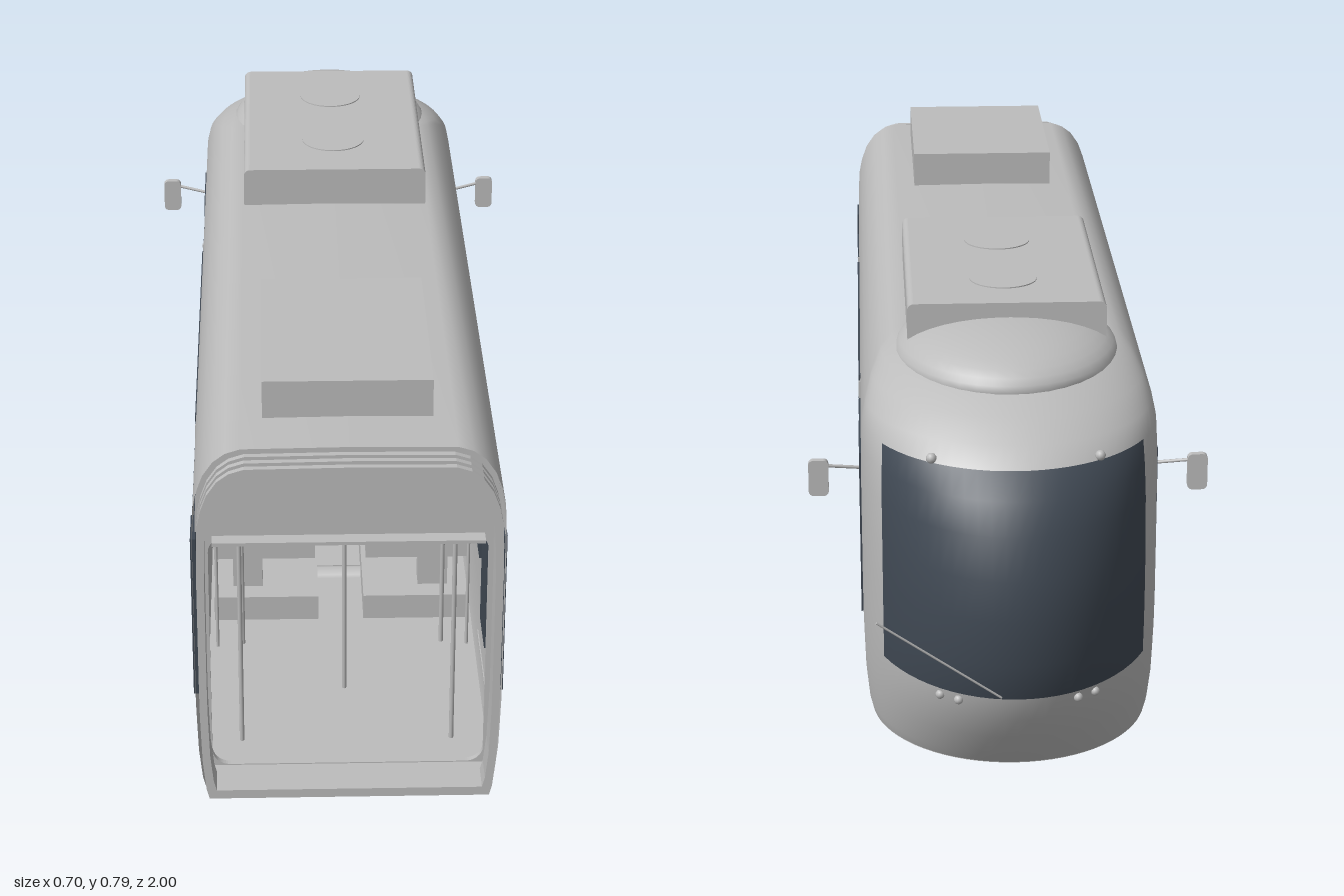
import * as THREE from 'three';

const mat = (name, color, side = THREE.FrontSide) => {
  const m = new THREE.MeshStandardMaterial({ color, side });
  m.name = name;
  return m;
};

// Body levels from sill to roof: height, half width, nose tip z
const LEVELS = [
  [0.065, 0.243, -0.85], [0.085, 0.248, -0.865], [0.14, 0.2535, -0.905], [0.185, 0.255, -0.93],
  [0.235, 0.2565, -0.953], [0.3, 0.257, -0.965], [0.38, 0.257, -0.97], [0.45, 0.257, -0.96],
  [0.52, 0.257, -0.938], [0.57, 0.256, -0.908], [0.61, 0.254, -0.872], [0.64, 0.248, -0.835],
  [0.67, 0.237, -0.785], [0.695, 0.22, -0.73], [0.71, 0.2, -0.685], [0.718, 0.175, -0.65], [0.72, 0, -0.64],
];
const REAR = 0.95, STEPS = 18;

// Plan outline of one level, from the left rear round the nose to the right rear
function planOutline([, w, tip]) {
  const z0 = Math.max(-0.6, tip + 0.25);
  const pts = [[w, REAR]];
  for (let i = 0; i <= STEPS * 2; i++) {
    const t = (i / STEPS) * Math.PI / 2;
    pts.push([w * Math.cos(t), z0 + (tip - z0) * Math.sin(t)]);
  }
  pts.push([-w, REAR]);
  return pts;
}

// Body skin; windscreen faces go in the second material group
function shellGeometry() {
  const pos = [], body = [], glass = [];
  const cols = STEPS * 2 + 3;
  for (const level of LEVELS) for (const [x, z] of planOutline(level)) pos.push(x, level[0], z);
  for (let r = 0; r < LEVELS.length - 1; r++) {
    for (let c = 0; c < cols - 1; c++) {
      const a = r * cols + c, b = a + 1, d = a + cols, e = d + 1;
      const isGlass = r >= 4 && r < 10 && c >= 7 && c < cols - 8;
      (isGlass ? glass : body).push(a, b, e, a, e, d);
    }
  }
  const g = new THREE.BufferGeometry();
  g.setAttribute('position', new THREE.Float32BufferAttribute(pos, 3));
  g.setIndex([...body, ...glass]);
  g.addGroup(0, body.length, 0);
  g.addGroup(body.length, glass.length, 1);
  g.computeVertexNormals();
  return g;
}

// Cross-section of the body, scaled about its middle
function sectionPoints(s) {
  const half = LEVELS.map(([y, w]) => new THREE.Vector2(w * s, 0.3925 + (y - 0.3925) * s));
  const mirrored = half.slice(0, -1).reverse().map((p) => new THREE.Vector2(-p.x, p.y));
  return [...half, ...mirrored];
}

function roundedRect(Type, x, y, w, h, r) {
  const s = new Type();
  s.moveTo(x + r, y);
  s.lineTo(x + w - r, y);
  s.absarc(x + w - r, y + r, r, -Math.PI / 2, 0);
  s.absarc(x + w - r, y + h - r, r, 0, Math.PI / 2);
  s.absarc(x + r, y + h - r, r, Math.PI / 2, Math.PI);
  s.absarc(x + r, y + r, r, Math.PI, Math.PI * 1.5);
  return s;
}

const extrude = (shape, depth) => new THREE.ExtrudeGeometry(shape, { depth, bevelEnabled: false, curveSegments: 6 });

export function createModel() {
  const grey = mat('bodyGrey', 0xbcbcbc);
  const skin = mat('bodySkin', 0xbcbcbc, THREE.DoubleSide);
  const dark = mat('darkGlass', 0x404954, THREE.DoubleSide);
  const root = new THREE.Group();
  root.name = 'tram';

  const add = (name, geometry, material = grey, x = 0, y = 0, z = 0) => {
    const m = new THREE.Mesh(geometry, material);
    m.name = name;
    m.position.set(x, y, z);
    root.add(m);
    return m;
  };
  const box = (name, x0, x1, y0, y1, z0, z1, material = grey) =>
    add(name, new THREE.BoxGeometry(x1 - x0, y1 - y0, z1 - z0), material, (x0 + x1) / 2, (y0 + y1) / 2, (z0 + z1) / 2);
  const rod = (name, from, to, r, material = grey) => {
    const a = new THREE.Vector3(...from), b = new THREE.Vector3(...to);
    const m = add(name, new THREE.CylinderGeometry(r, r, a.distanceTo(b), 8), material);
    m.position.copy(a).lerp(b, 0.5);
    m.quaternion.setFromUnitVectors(new THREE.Vector3(0, 1, 0), b.sub(a).normalize());
    return m;
  };

  // Body, windscreen and floor
  add('bodyShell', shellGeometry(), [skin, dark]);
  const floor = new THREE.Shape(planOutline(LEVELS[0]).map(([x, z]) => new THREE.Vector2(x, -z)));
  add('floor', extrude(floor, 0.012).rotateX(-Math.PI / 2), grey, 0, 0.064, 0);

  // Folded gangway at the open end
  for (let i = 0; i < 5; i++) {
    const ring = new THREE.Shape(sectionPoints(i % 2 ? 0.95 : 0.97));
    ring.holes.push(new THREE.Path(sectionPoints(0.92)));
    add('gangwayFold', extrude(ring, 0.0104), grey, 0, 0, 0.948 + i * 0.0104);
  }

  // Inner end frame, ceiling and cab bulkhead
  const frame = new THREE.Shape(sectionPoints(0.985));
  frame.holes.push(roundedRect(THREE.Path, -0.232, 0.078, 0.464, 0.452, 0.03));
  add('endFrame', extrude(frame, 0.01), grey, 0, 0, 0.895);
  box('frameLip', -0.225, 0.225, 0.526, 0.532, 0.895, 0.93);
  box('ceiling', -0.25, 0.25, 0.53, 0.536, -0.49, 0.9);
  add('cabBulkhead', extrude(new THREE.Shape(sectionPoints(0.98)), 0.01), grey, 0, 0, -0.5);

  // Interior signs
  box('signFrame', -0.066, 0.066, 0.467, 0.515, -0.49, -0.475);
  box('signGlass', -0.06, 0.06, 0.471, 0.511, -0.476, -0.471, dark);
  box('cabScreen', -0.175, -0.065, 0.36, 0.435, -0.49, -0.482, dark);

  // Grab poles
  for (const z of [0.67, -0.3]) rod('centrePole', [0, 0.07, z], [0, 0.53, z], 0.004);

  for (const s of [1, -1]) {
    const sideBox = (name, xa, xb, ...rest) => box(name, Math.min(s * xa, s * xb), Math.max(s * xa, s * xb), ...rest);

    // Side and door windows: y0, y1, z0, z1
    for (const [name, y0, y1, z0, z1] of [
      ['rearWindow', 0.24, 0.54, 0.85, 0.93], ['doorWindow', 0.145, 0.51, 0.69, 0.8],
      ['doorWindow', 0.145, 0.51, 0.55, 0.655], ['saloonWindow', 0.24, 0.54, -0.2, 0.5],
      ['doorWindow', 0.145, 0.51, -0.39, -0.245], ['cabWindow', 0.24, 0.54, -0.6, -0.44],
    ]) sideBox(name, 0.2508, 0.2602, y0, y1, z0, z1, dark);

    // Door rails and thresholds
    for (const z of [0.533, -0.233]) sideBox('doorRail', 0.254, 0.26, 0.1, 0.54, z - 0.003, z + 0.003);
    for (const [z0, z1] of [[0.53, 0.81], [-0.4, -0.23]]) sideBox('doorThreshold', 0.248, 0.256, 0.1, 0.105, z0, z1);

    // Raised floor, seats and poles
    sideBox('seatPlinth', 0.042, 0.235, 0.07, 0.125, -0.08, 0.44);
    for (const z of [-0.03, 0.2, 0.4]) {
      sideBox('seatBack', 0.047, 0.235, 0.205, 0.36, z - 0.01, z + 0.01);
      sideBox('seatCushion', 0.047, 0.235, 0.19, 0.21, z - 0.07, z + 0.01);
      sideBox('seatBase', 0.145, 0.2, 0.125, 0.195, z - 0.04, z);
    }
    for (const z of [0.52, 0.83, -0.2]) rod('sidePole', [s * 0.182, 0.07, z], [s * 0.182, 0.53, z], 0.004);
    rod('doorPole', [s * 0.228, 0.08, 0.535], [s * 0.228, 0.525, 0.535], 0.003);

    // Wheels with flanges, and bogie gear
    for (const z of [0.37, -0.02]) {
      add('wheel', new THREE.CylinderGeometry(0.058, 0.058, 0.03, 28).rotateZ(Math.PI / 2), grey, s * 0.162, 0.066, z);
      add('wheelFlange', new THREE.CylinderGeometry(0.066, 0.066, 0.008, 28).rotateZ(Math.PI / 2), grey, s * 0.15, 0.066, z);
      add('wheelHub', new THREE.CylinderGeometry(0.022, 0.022, 0.012, 16).rotateZ(Math.PI / 2), grey, s * 0.18, 0.058, z);
      const inner = z > 0.1 ? 0.275 : 0.08;
      add('brakeDisc', new THREE.CylinderGeometry(0.036, 0.036, 0.01, 20).rotateZ(Math.PI / 2), grey, s * 0.104, 0.064, z);
      add('brakeBlock', new THREE.SphereGeometry(0.026, 14, 10), grey, s * 0.16, 0.068, inner);
    }

    // Mirrors on arms
    rod('mirrorArm', [s * 0.25, 0.503, -0.575], [s * 0.325, 0.515, -0.592], 0.003);
    add('mirror', extrude(roundedRect(THREE.Shape, -0.0175, 0, 0.035, 0.066, 0.009), 0.012), grey, s * 0.331, 0.46, -0.598);

    // Small lamps around the windscreen
    add('lowerLamp', new THREE.SphereGeometry(0.008, 10, 8), grey, s * 0.13, 0.222, -0.9);
    add('lowerLamp', new THREE.SphereGeometry(0.008, 10, 8), grey, s * 0.1, 0.222, -0.922);
    add('upperLamp', new THREE.SphereGeometry(0.009, 10, 8), grey, s * 0.14, 0.617, -0.825);
  }

  // Axles and motors
  for (const z of [0.37, -0.02]) rod('axle', [-0.15, 0.066, z], [0.15, 0.066, z], 0.01);
  for (const z of [0.275, 0.08]) rod('motor', [-0.064, 0.064, z], [0.064, 0.064, z], 0.025);

  // Roof units
  box('rearRoofUnit', -0.14, 0.14, 0.71, 0.785, 0.455, 0.845);
  add('frontRoofUnit', extrude(roundedRect(THREE.Shape, -0.173, 0.7, 0.346, 0.09, 0.012), 0.52), grey, 0, 0, -0.54);
  for (const z of [-0.4, -0.17]) add('roofFan', new THREE.CylinderGeometry(0.06, 0.06, 0.004, 32), grey, 0, 0.79, z);
  const fairing = add('roofFairing', new THREE.SphereGeometry(1, 40, 20), grey, 0, 0.695, -0.5);
  fairing.scale.set(0.197, 0.07, 0.235);

  // Whip rod at the nose
  rod('noseRod', [0.03, 0.24, -0.955], [0.235, 0.4, -0.998], 0.002);

  return root;
}
